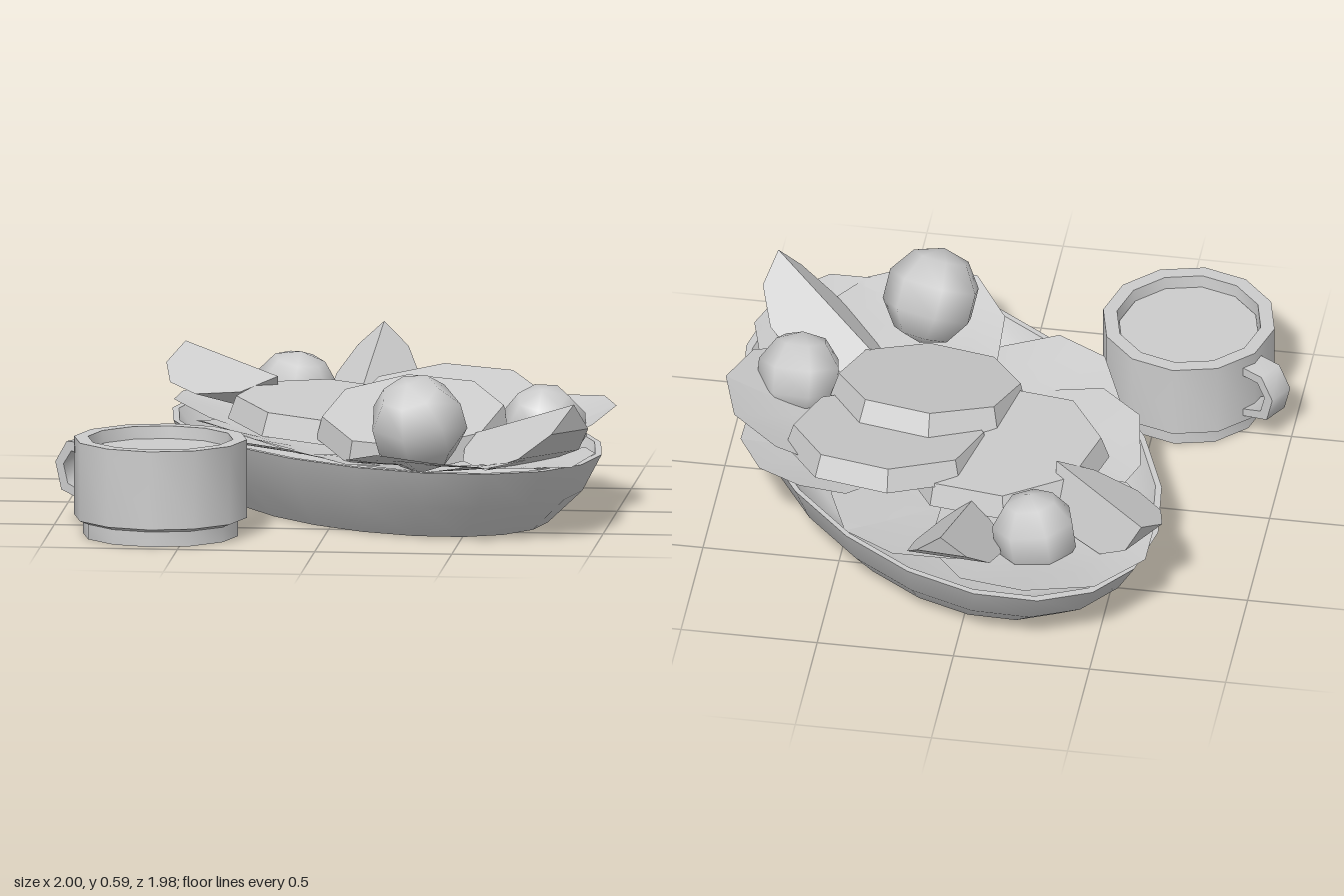
import * as THREE from 'three';
import { toCreasedNormals } from 'three/addons/utils/BufferGeometryUtils.js';
import { ConvexGeometry } from 'three/addons/geometries/ConvexGeometry.js';

const BOWL = { x: 0.155, z: -0.065, a: 1.055, b: 0.65, angle: 0.907 };
const V = (x, y, z) => new THREE.Vector3(x, y, z);
const smooth = new THREE.MeshStandardMaterial({ color: 0xcccccc });
const flat = new THREE.MeshStandardMaterial({ color: 0xcccccc, flatShading: true });
const sheet = new THREE.MeshStandardMaterial({ color: 0xcccccc, side: THREE.DoubleSide });

function add(parent, name, geometry, material) {
  const mesh = new THREE.Mesh(geometry, material);
  mesh.name = name;
  parent.add(mesh);
  return mesh;
}

function lathe(points, sides) {
  const profile = points.map(([r, y]) => new THREE.Vector2(r, y));
  return toCreasedNormals(new THREE.LatheGeometry(profile, sides), 0.62);
}

// Distance from the bowl's middle, 1 at its oval rim
function ovalRadius(x, z) {
  const c = Math.cos(BOWL.angle), s = Math.sin(BOWL.angle);
  const dx = x - BOWL.x, dz = z - BOWL.z;
  return Math.hypot((dx * c + dz * s) / BOWL.a, (dz * c - dx * s) / BOWL.b);
}

// Leaf: a polygon sheet that rises toward the rim with a gentle ripple
function leafGeometry(cx, cz, rx, rz, lift, phase) {
  const g = new THREE.RingGeometry(0, 1, 10, 3, phase).rotateX(-Math.PI / 2);
  const p = g.attributes.position;
  for (let i = 0; i < p.count; i++) {
    const lx = p.getX(i), lz = p.getZ(i), r2 = lx * lx + lz * lz;
    const x = cx + lx * rx, z = cz + lz * rz;
    const e = ovalRadius(x, z);
    const ripple = 0.014 * r2 * Math.sin(3 * Math.atan2(lz, lx) + phase);
    p.setXYZ(i, x, 0.2 + (0.085 + lift) * e * e + ripple, z);
  }
  g.computeVertexNormals();
  return g;
}

// Wedge: two curved-edged faces meeting at the ridge P-Q; each side is [reach, depth]
function wedgeGeometry(P, Q, sides) {
  const mid = P.clone().add(Q).multiplyScalar(0.5);
  const r = P.distanceTo(Q) / 2;
  const u = Q.clone().sub(P).normalize();
  const down = V(0, -1, 0).addScaledVector(u, u.y).normalize();
  const across = u.clone().cross(down);
  const points = [P, Q];
  for (const [reach, depth] of sides) {
    for (const t of [0.6, 1.2, 1.8, 2.5]) {
      points.push(mid.clone()
        .addScaledVector(u, -r * Math.cos(t))
        .addScaledVector(down, depth * Math.sin(t))
        .addScaledVector(across, reach * Math.sin(t)));
    }
  }
  return new ConvexGeometry(points);
}

export function createModel() {
  const model = new THREE.Group();
  model.name = 'saladBowlAndCup';

  // Oval bowl
  const bowl = add(model, 'bowl', lathe([
    [0, 0], [0.75, 0], [0.91, 0.13], [1, 0.27], [0.97, 0.27], [0.88, 0.17], [0.72, 0.1], [0, 0.1],
  ], 20), smooth);
  bowl.scale.set(BOWL.a, 1, BOWL.b);
  bowl.rotation.y = -BOWL.angle;
  bowl.position.set(BOWL.x, 0, BOWL.z);

  // Bed of leaves: centre x, z, radii x, z, lift, phase
  [
    [-0.26, -0.57, 0.42, 0.42, 0.02, 0.3],
    [-0.19, -0.08, 0.36, 0.4, 0.03, 0.5],
    [-0.07, 0.22, 0.34, 0.36, 0.005, 2.0],
    [0.17, -0.42, 0.37, 0.38, 0.0, 0.7],
    [0.65, 0.02, 0.35, 0.38, 0.075, 0],
    [0.64, -0.18, 0.27, 0.33, 0.03, 0.3],
    [0.4, 0.56, 0.34, 0.34, 0.02, 1.6],
    [0.65, 0.48, 0.32, 0.36, 0.0, 2.5],
  ].forEach((args) => add(model, 'leaf', leafGeometry(...args), sheet));

  // Overlapping eight-sided slices: centre of the top, radius, slopes along x and z
  [
    [-0.05, 0.36, -0.17, 0.38, -0.07, -0.05],
    [0.37, 0.378, -0.18, 0.37, 0.01, -0.21],
    [0.27, 0.38, 0.14, 0.355, 0.02, -0.26],
  ].forEach(([x, y, z, r, sx, sz]) => {
    const g = new THREE.CylinderGeometry(r - 0.025, r, 0.085, 8, 1, false, 0.15);
    g.translate(0, -0.0425, 0);
    const slice = add(model, 'slice', g, flat);
    slice.position.set(x, y, z);
    slice.quaternion.setFromUnitVectors(V(0, 1, 0), V(-sx, 1, -sz).normalize());
  });

  // Round tomatoes with few sides
  [
    [0.335, 0.41, 0.595, 0.18],
    [0.75, 0.33, 0.155, 0.16],
    [-0.24, 0.31, -0.625, 0.16],
  ].forEach(([x, y, z, r], i) => {
    const tomato = add(model, 'tomato', new THREE.SphereGeometry(r, 7, 5), smooth);
    tomato.position.set(x, y, z);
    tomato.rotation.set(0.4 - 0.2 * i, 0.5 + i, 0.2);
  });

  // Cut wedges
  [
    [V(0.05, 0.52, -0.985), V(0.01, 0.32, -0.47), [[-0.165, 0.13], [0.165, 0.13]]],
    [V(0.91, 0.5, 0.66), V(0.48, 0.32, 0.3), [[-0.165, 0.16], [0.165, 0.16]]],
    [V(-0.65, 0.475, -0.75), V(-0.27, 0.42, -0.33), [[-0.21, 0.1], [0.08, 0.19]]],
  ].forEach((args) => add(model, 'wedge', wedgeGeometry(...args), flat));

  // Cup with a foot, thick rim and drink inside
  const cup = new THREE.Group();
  cup.name = 'cup';
  cup.position.set(-0.595, 0, 0.674);
  cup.rotation.y = 2.59;
  model.add(cup);
  add(cup, 'cupBody', lathe([
    [0, 0], [0.284, 0], [0.284, 0.055], [0.316, 0.068], [0.316, 0.355],
    [0.265, 0.355], [0.255, 0.25], [0, 0.25],
  ], 12), smooth);
  const drink = add(cup, 'drink', new THREE.CylinderGeometry(0.257, 0.25, 0.05, 12), flat);
  drink.position.y = 0.285;

  // Angular strap handle
  const outline = [
    [0.29, 0.31], [0.39, 0.31], [0.442, 0.23], [0.415, 0.13], [0.29, 0.09],
    [0.29, 0.12], [0.385, 0.155], [0.405, 0.225], [0.37, 0.275], [0.29, 0.275],
  ].map(([x, y]) => new THREE.Vector2(x, y));
  const handle = new THREE.ExtrudeGeometry(new THREE.Shape(outline), { depth: 0.1, bevelEnabled: false });
  handle.translate(0, 0, -0.05);
  add(cup, 'cupHandle', toCreasedNormals(handle, 1.1), smooth);

  return model;
}
